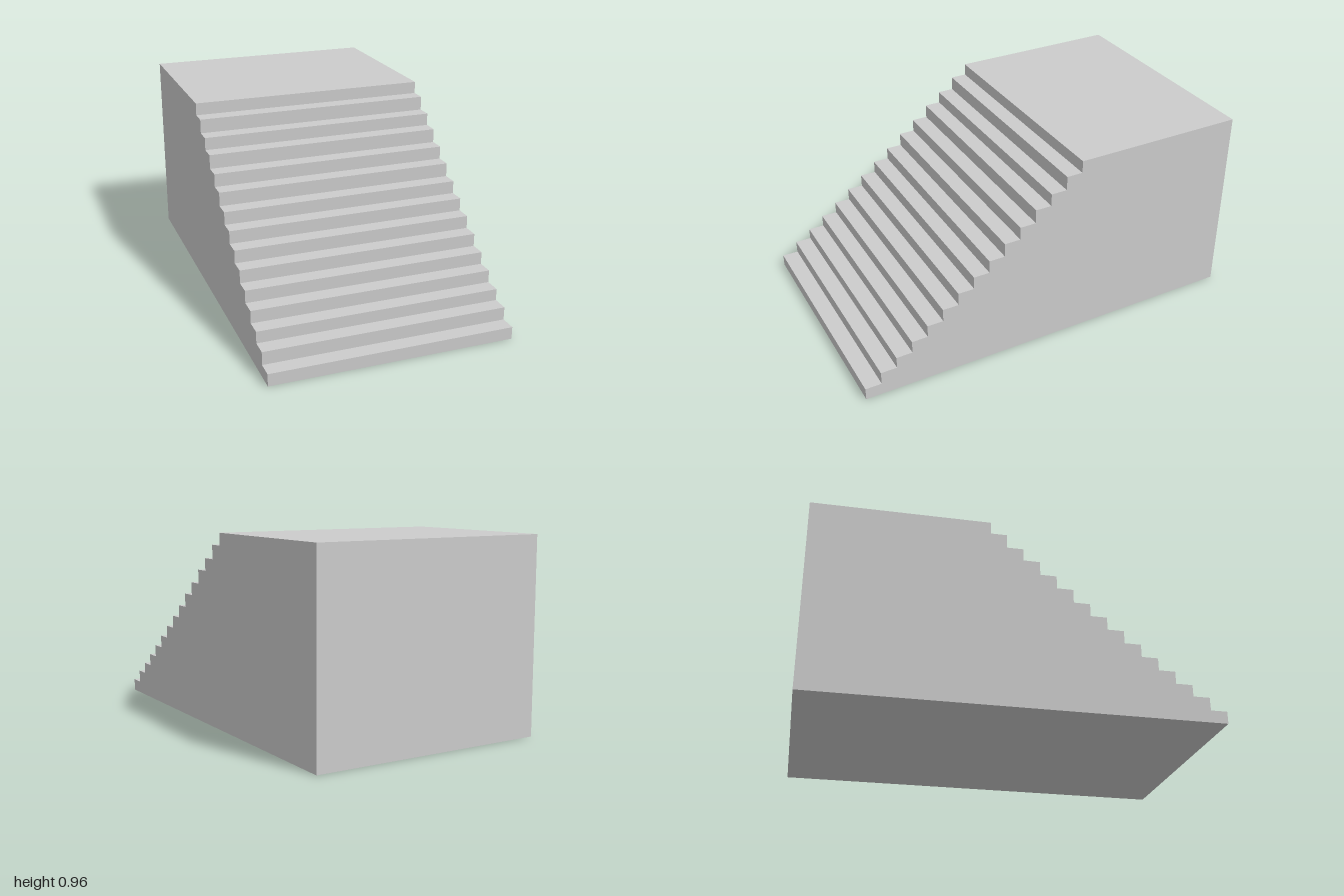
import * as THREE from 'three';

// Tread heights, slightly uneven from step to step
const HEIGHTS = [0.061, 0.125, 0.183, 0.245, 0.307, 0.371, 0.435, 0.499,
  0.563, 0.632, 0.697, 0.767, 0.829, 0.899, 0.96];
const WIDTH = 1.2;
const TREAD = 0.0808;

export function createModel() {
  const group = new THREE.Group();
  group.name = 'staircase';
  const material = new THREE.MeshStandardMaterial({ color: 0xcccccc, flatShading: true });

  // Side profile: shape x runs along z, from the back to the first riser
  const profile = new THREE.Shape();
  profile.moveTo(-1, 0);
  profile.lineTo(1, 0);
  HEIGHTS.forEach((y, i) => {
    const front = 1 - i * TREAD;
    profile.lineTo(front, y);
    profile.lineTo(i < HEIGHTS.length - 1 ? front - TREAD : -1, y);
  });
  profile.closePath();

  // Solid stair block with its top landing, turned so the steps face +z
  const geometry = new THREE.ExtrudeGeometry(profile, { depth: WIDTH, bevelEnabled: false });
  geometry.translate(0, 0, -WIDTH / 2);
  geometry.rotateY(-Math.PI / 2);

  const stairs = new THREE.Mesh(geometry, material);
  stairs.name = 'stepsAndLanding';
  group.add(stairs);
  return group;
}
